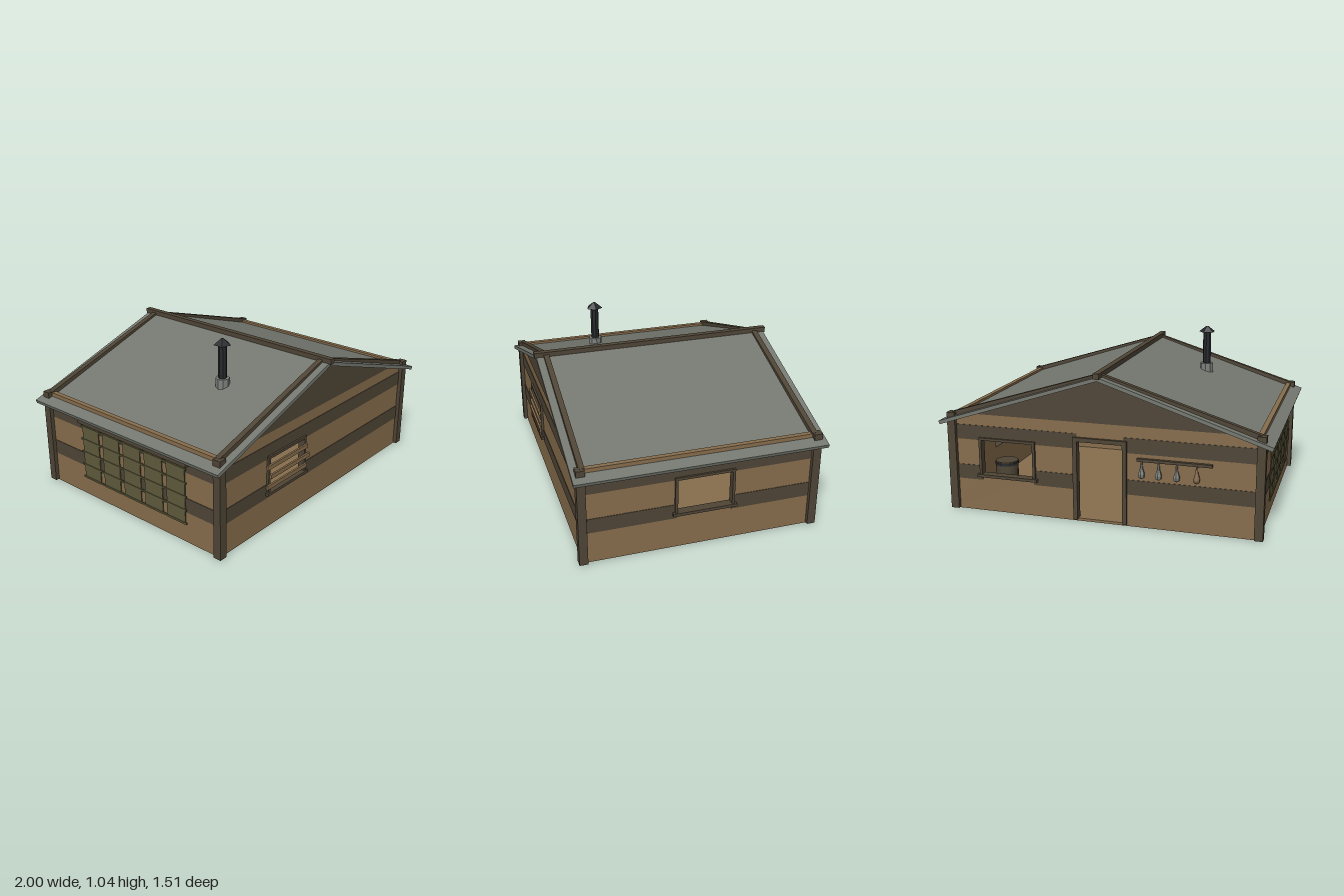
import * as THREE from 'three';

const mat = (name, color) => {
  const m = new THREE.MeshStandardMaterial({ color });
  m.name = name;
  return m;
};

export function createModel() {
  const plank = mat('lightPlank', 0x876d4d);
  const timber = mat('darkTimber', 0x4f4536);
  const roofGrey = mat('roofGrey', 0x757870);
  const iron = mat('blackIron', 0x26282b);
  const steel = mat('greySteel', 0x7f827e);
  const netting = mat('oliveNetting', 0x5f5a3c);
  iron.flatShading = steel.flatShading = true;

  const model = new THREE.Group();
  model.name = 'cabin';
  const HX = 0.93, HZ = 0.695, T = 0.03;

  const add = (parent, name, geo, material, x = 0, y = 0, z = 0) => {
    const mesh = new THREE.Mesh(geo, material);
    mesh.name = name;
    mesh.position.set(x, y, z);
    parent.add(mesh);
    return mesh;
  };
  // Box given by its limits on each axis
  const box = (parent, name, material, x0, x1, y0, y1, z0, z1) =>
    add(parent, name, new THREE.BoxGeometry(x1 - x0, y1 - y0, z1 - z0), material,
      (x0 + x1) / 2, (y0 + y1) / 2, (z0 + z1) / 2);
  const polygon = (pts) => new THREE.Shape(pts.map(([x, y]) => new THREE.Vector2(x, y)));
  const extrude = (shape, depth) => new THREE.ExtrudeGeometry(shape, { depth, bevelEnabled: false });

  // One wall in its own frame: outer face at z = 0, openings as [u0, u1, y0, y1]
  function wall(name, outline, openings, half, angle, distance) {
    const g = new THREE.Group();
    g.name = name;
    g.rotation.y = angle;
    g.position.set(Math.sin(angle) * distance, 0, Math.cos(angle) * distance);
    model.add(g);
    const shape = polygon(outline);
    for (const [a, b, c, d] of openings) {
      shape.holes.push(new THREE.Path([[a, c], [a, d], [b, d], [b, c]].map(([x, y]) => new THREE.Vector2(x, y))));
    }
    add(g, name + 'Planks', extrude(shape, T), plank, 0, 0, -T);
    // Dark bands, interrupted by the openings
    for (const [y0, y1] of [[0.195, 0.285], [0.445, 0.535]]) {
      let start = -half;
      const cuts = openings.filter((o) => o[2] < y1 && o[3] > y0 + 0.01).sort((p, q) => p[0] - q[0]);
      for (const [a, b] of [...cuts, [half, half]]) {
        box(g, 'darkBand', timber, start, a, y0, y1, 0, 0.003);
        start = b;
      }
    }
    return g;
  }

  const opening = (u) => [u - 0.165, u + 0.165, 0.235, 0.45];
  function windowFrame(parent, u) {
    const g = new THREE.Group();
    g.name = 'windowFrame';
    g.position.x = u;
    parent.add(g);
    for (const s of [-1, 1]) {
      const c = s * 0.171;
      box(g, 'jamb', timber, c - 0.008, c + 0.008, 0.235, 0.45, -T, 0.015);
    }
    box(g, 'lintel', timber, -0.179, 0.179, 0.447, 0.463, -T, 0.015);
    box(g, 'sill', timber, -0.192, 0.192, 0.218, 0.236, -T, 0.024);
  }

  // Floor and walls
  box(model, 'floor', plank, -HX, HX, 0, 0.015, -HZ, HZ);
  const gableOutline = [[-HX, 0.005], [HX, 0.005], [HX, 0.562], [0.79, 0.605], [-0.79, 0.605], [-HX, 0.562]];
  const sideHalf = HZ - T;
  const sideOutline = [[-sideHalf, 0.005], [sideHalf, 0.005], [sideHalf, 0.605], [-sideHalf, 0.605]];
  const door = [-0.14, 0.14, 0.016, 0.495];
  const front = wall('frontWall', gableOutline, [opening(-0.347)], HX, 0, HZ);
  const back = wall('backWall', gableOutline, [opening(-0.58), door], HX, Math.PI, HZ);
  const right = wall('windowSideWall', sideOutline, [opening(0.02)], sideHalf, Math.PI / 2, HX);
  const left = wall('netSideWall', sideOutline, [], sideHalf, -Math.PI / 2, HX);
  windowFrame(front, -0.347);
  windowFrame(back, -0.58);
  windowFrame(right, 0.02);

  // Dark gables, rising slightly through the roof
  const gable = polygon([[HX, 0.61], [0, 0.897], [-HX, 0.61], [-HX, 0.562], [-0.79, 0.605], [0.79, 0.605], [HX, 0.562]]);
  for (const g of [front, back]) add(g, 'gable', extrude(gable, T + 0.003), timber, 0, 0, -T);

  // Corner posts
  for (const sx of [-1, 1]) for (const sz of [-1, 1]) {
    add(model, 'cornerPost', new THREE.BoxGeometry(0.05, 0.604, 0.05), timber, sx * HX, 0.307, sz * HZ);
  }

  // Roof and ridge beam
  const roof = polygon([[-1, 0.558], [-0.993, 0.537], [0, 0.861], [0.993, 0.537], [1, 0.558], [0, 0.884]]);
  add(model, 'roof', extrude(roof, 1.486), roofGrey, 0, 0, -0.743);
  box(model, 'ridgeBeam', timber, -0.018, 0.018, 0.874, 0.907, -0.755, 0.755);

  // Boards nailed across the front window
  [[-0.55, -0.17, 0.403], [-0.52, -0.15, 0.338], [-0.55, -0.175, 0.278]].forEach(([a, b, y]) =>
    box(front, 'windowBoard', plank, a, b, y - 0.013, y + 0.013, 0.016, 0.028));

  // Door frame
  for (const s of [-1, 1]) box(back, 'doorJamb', timber, s * 0.15 - 0.013, s * 0.15 + 0.013, 0.012, 0.495, -T, 0.018);
  box(back, 'doorLintel', timber, -0.163, 0.163, 0.49, 0.515, -T, 0.018);

  // Rail with hanging tools
  box(back, 'toolRail', timber, 0.225, 0.66, 0.405, 0.422, 0, 0.02);
  const toolProfile = [[0, 0.305], [0.017, 0.315], [0.02, 0.335], [0.009, 0.37], [0.005, 0.41], [0, 0.41]]
    .map(([r, y]) => new THREE.Vector2(r, y));
  [0.255, 0.355, 0.46, 0.575].forEach((u, i) =>
    add(back, 'hangingTool', new THREE.LatheGeometry(toolProfile, 6), i === 3 ? plank : steel, u, 0, 0.025));

  // Net of olive strips hanging from a rod
  const net = new THREE.Group();
  net.name = 'hangingNet';
  net.position.x = 0.035;
  left.add(net);
  box(net, 'netRod', timber, -0.44, 0.44, 0.492, 0.514, 0, 0.03);
  for (let i = 0; i < 5; i++) {
    const u = (i - 2) * 0.174;
    box(net, 'netStrip', netting, u - 0.07, u + 0.07, 0.12, 0.495, 0.008, 0.014);
  }
  for (let i = 0; i < 5; i++) {
    const y = 0.13 + i * 0.085;
    box(net, 'netCord', netting, -0.43, 0.43, y - 0.005, y + 0.005, 0.01, 0.018);
  }

  // Stove with its pipe, collar and rain cap
  const stove = new THREE.Group();
  stove.name = 'stove';
  stove.position.set(-0.418, 0, 0.275);
  stove.rotation.y = Math.PI / 2;
  model.add(stove);
  const cyl = (name, material, rTop, rBottom, y0, y1, sides) =>
    add(stove, name, new THREE.CylinderGeometry(rTop, rBottom, y1 - y0, sides), material, 0, (y0 + y1) / 2, 0);
  cyl('stoveBody', iron, 0.085, 0.085, 0.015, 0.235, 8);
  cyl('stoveTop', iron, 0.04, 0.085, 0.235, 0.265, 8);
  cyl('stovePipe', iron, 0.026, 0.026, 0.26, 1.01, 8);
  cyl('pipeCollar', steel, 0.042, 0.042, 0.73, 0.795, 8);
  cyl('rainCap', iron, 0.008, 0.053, 1.0, 1.036, 5);

  // Barrel inside the back window
  const barrel = new THREE.Group();
  barrel.name = 'barrel';
  barrel.position.set(0.68, 0, -0.49);
  model.add(barrel);
  add(barrel, 'barrelBody', new THREE.CylinderGeometry(0.07, 0.07, 0.25, 12), timber, 0, 0.14, 0);
  for (const y of [0.06, 0.25]) {
    add(barrel, 'barrelHoop', new THREE.CylinderGeometry(0.074, 0.074, 0.016, 12), iron, 0, y, 0);
  }
  return model;
}
